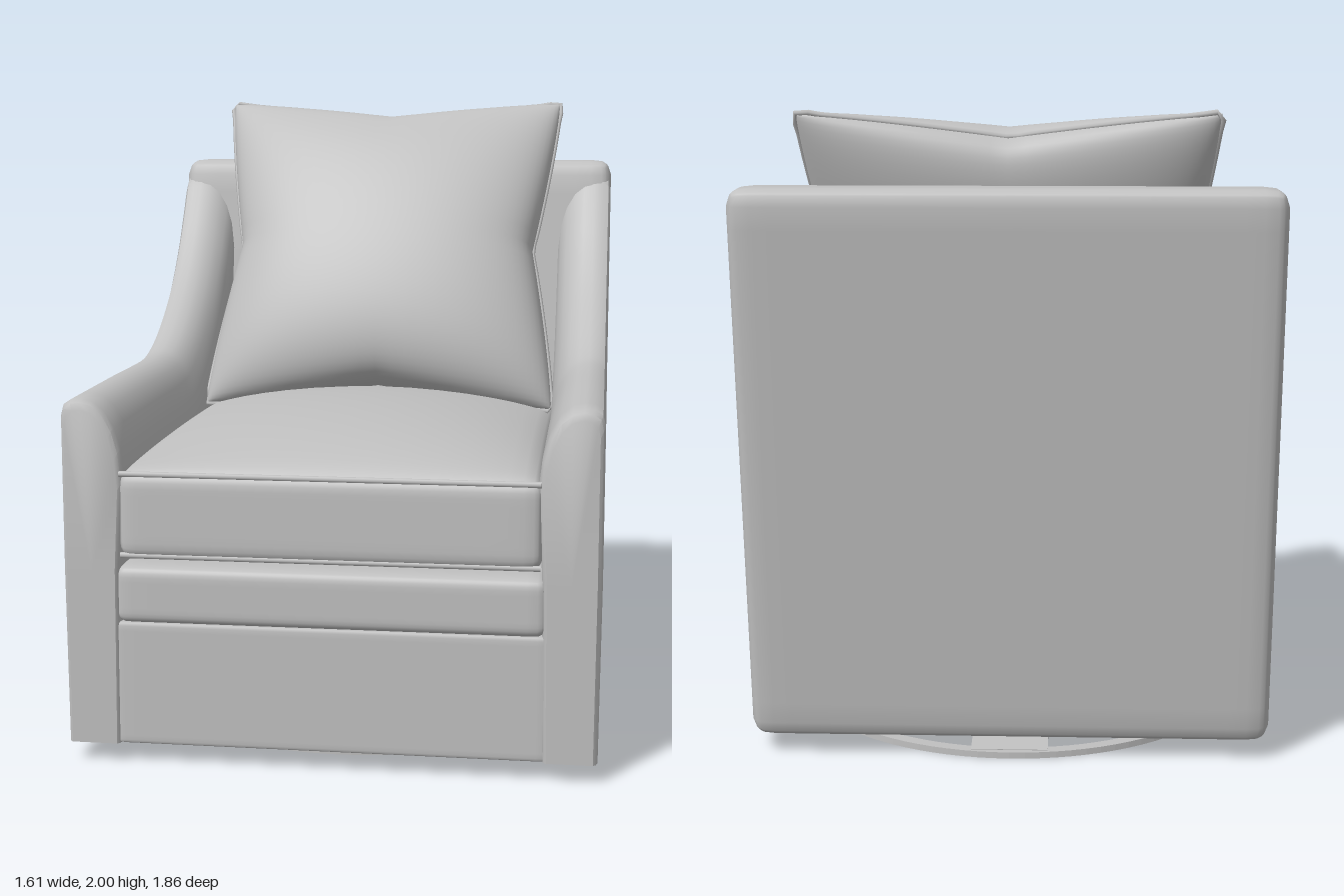
import * as THREE from 'three';
import { mergeVertices, toCreasedNormals } from 'three/addons/utils/BufferGeometryUtils.js';

const backZ = (y) => -0.75 - (y - 0.06) * 0.105; // raked rear surface

function smooth(geo) {
  geo.deleteAttribute('uv');
  geo.deleteAttribute('normal');
  const g = mergeVertices(geo, 1e-4);
  g.computeVertexNormals();
  return g;
}

// Rounded upholstered block given by its limits; bend(v, n) moves vertices, n is in -1..1
function softBox([x0, x1], [y0, y1], [z0, z1], r, bend) {
  const half = new THREE.Vector3(x1 - x0, y1 - y0, z1 - z0).multiplyScalar(0.5);
  const mid = new THREE.Vector3(x0 + x1, y0 + y1, z0 + z1).multiplyScalar(0.5);
  const geo = new THREE.BoxGeometry(2, 2, 2, 20, 16, 20);
  const p = geo.attributes.position;
  const v = new THREE.Vector3(), n = new THREE.Vector3(), inner = new THREE.Vector3();
  const lim = half.clone().subScalar(r);
  const ease = (t) => Math.sign(t) * (1 - (1 - Math.abs(t)) ** 2); // denser at the edges
  for (let i = 0; i < p.count; i++) {
    n.fromBufferAttribute(p, i);
    n.set(ease(n.x), ease(n.y), ease(n.z));
    v.copy(n).multiply(half);
    inner.copy(v).clamp(lim.clone().negate(), lim);
    v.sub(inner).setLength(r).add(inner).add(mid);
    if (bend) bend(v, n);
    p.setXYZ(i, v.x, v.y, v.z);
  }
  return smooth(geo);
}

// Arm and wing: one cross-section swept from the front to the raked back
function armGeometry(side) {
  const top = new THREE.CatmullRomCurve3([
    [0.89, 1.115], [0.45, 1.12], [0, 1.125], [-0.1, 1.14], [-0.25, 1.2], [-0.45, 1.335],
    [-0.6, 1.49], [-0.7, 1.63], [-0.77, 1.73], [-0.86, 1.765],
  ].map(([z, y]) => new THREE.Vector3(0, y, z)));
  const section = (h) => [
    [0.8, 0.06], [0.805, 0.6], [0.805, h - 0.05], [0.797, h - 0.018], [0.775, h - 0.003], [0.745, h],
    [0.71, h - 0.008], [0.675, h - 0.035], [0.645, h - 0.085], [0.625, h - 0.15], [0.615, h - 0.24],
    [0.63, 0.6], [0.635, 0.06],
  ];
  const rings = [];
  // softened front edge
  [[0.918, 0.84, 0.03], [0.91, 0.94, 0.01]].forEach(([z, k, drop]) => rings.push(
    section(1.115 - drop).map(([x, y]) => [0.715 + (x - 0.715) * k, y, z])));
  for (let i = 0; i <= 36; i++) {
    const t = top.getPoint(i / 36);
    const u = (0.89 - t.z) / (0.89 - backZ(t.y) - 0.07);
    rings.push(section(t.y).map(([x, y]) => [x, y, 0.89 + u * (backZ(y) + 0.07 - 0.89)]));
  }
  const n = rings[0].length, pos = [], idx = [];
  rings.flat().forEach(([x, y, z]) => pos.push(side * x, y, z));
  const tri = (a, b, c) => (side > 0 ? idx.push(a, b, c) : idx.push(a, c, b));
  for (let i = 0; i < rings.length - 1; i++) {
    for (let j = 0; j < n; j++) {
      const a = i * n + j, b = i * n + (j + 1) % n;
      tri(a, a + n, b);
      tri(b, a + n, b + n);
    }
  }
  const c = pos.length / 3;
  pos.push(side * 0.715, 0.6, 0.918);
  for (let j = 0; j < n; j++) tri(c, j, (j + 1) % n);
  const g = new THREE.BufferGeometry();
  g.setAttribute('position', new THREE.Float32BufferAttribute(pos, 3));
  g.setIndex(idx);
  return toCreasedNormals(g, 0.7);
}

// Point of the leaning pillow: a across, b up, f = 1 front, -1 back, 0 seam
function pillowPoint(a, b, f) {
  const x = a * (0.615 - 0.085 * (1 - Math.abs(b)) ** 1.3 * Math.abs(a) ** 2);
  const pinch = 0.065 * (1 - Math.abs(a)) ** 1.2 * Math.abs(b) ** 3;
  const t = (b * (1 - pinch * 2) + 1) / 2;
  const fat = Math.max(0, (1 - a * a) * (1 - b * b)) ** 0.42 * (f > 0 ? 0.26 : 0.15) * f;
  const low = f > 0 ? 1 - 0.15 * t : 1;
  return new THREE.Vector3(x, 0.93 + 1.06 * t + fat * low * 0.46, -0.22 - 0.555 * t + fat * low * 0.89);
}

function pillowGeometry() {
  const geo = new THREE.BoxGeometry(2, 2, 2, 36, 36, 1);
  const p = geo.attributes.position;
  const ease = (t) => Math.sin(t * Math.PI / 2);
  for (let i = 0; i < p.count; i++) {
    const v = pillowPoint(ease(p.getX(i)), ease(p.getY(i)), p.getZ(i));
    p.setXYZ(i, v.x, v.y, v.z);
  }
  return smooth(geo);
}

export function createModel() {
  const group = new THREE.Group();
  const fabric = new THREE.MeshStandardMaterial({ color: 0xc0c0c0 });
  fabric.name = 'grey fabric';
  const add = (name, geo, parent = group) => {
    const m = new THREE.Mesh(geo, fabric);
    m.name = name;
    parent.add(m);
    return m;
  };

  // Arms and raked back
  add('leftArm', armGeometry(1));
  add('rightArm', armGeometry(-1));
  add('backrest', softBox([-0.805, 0.805], [0.06, 1.785], [-0.75, -0.57], 0.055, (v) => {
    v.z -= (v.y - 0.06) * 0.105;
  }));

  // Seat base
  add('frontPanel', softBox([-0.645, 0.645], [0.06, 0.44], [-0.7, 0.912], 0.012));
  add('frontRail', softBox([-0.645, 0.645], [0.435, 0.615], [-0.7, 0.92], 0.035));
  const under = add('underside', new THREE.BoxGeometry(1.5, 0.02, 1.58));
  under.position.set(0, 0.071, 0.09);

  // Crowned seat cushion with piping
  add('seatCushion', softBox([-0.632, 0.632], [0.635, 0.905], [-0.6, 0.93], 0.045, (v, n) => {
    const crown = Math.max(0, 1 - n.x * n.x) ** 0.7 * Math.max(0, 1 - n.z * n.z) ** 0.7;
    if (n.y > 0) v.y += 0.12 * crown * n.y;
  }));
  for (const y of [0.648, 0.895]) {
    const pipe = add('seatPiping', new THREE.CylinderGeometry(0.009, 0.009, 1.25, 8));
    pipe.rotation.z = Math.PI / 2;
    pipe.position.set(0, y, 0.916);
  }

  // Back pillow and its seam piping
  add('backPillow', pillowGeometry());
  const seam = [];
  const corners = [[-1, -1], [1, -1], [1, 1], [-1, 1]];
  corners.forEach(([a, b], k) => {
    const [c, d] = corners[(k + 1) % 4];
    for (let i = 0; i < 16; i++) {
      const t = i / 16;
      seam.push(pillowPoint(a + (c - a) * t, b + (d - b) * t, 0));
    }
  });
  add('pillowPiping', new THREE.TubeGeometry(new THREE.CatmullRomCurve3(seam, true), 128, 0.009, 6, true));

  // Swivel base: flat ring with four rising spokes
  const base = new THREE.Group();
  base.name = 'swivelBase';
  base.position.z = 0.01;
  group.add(base);
  const ringShape = new THREE.Shape().absarc(0, 0, 0.75, 0, Math.PI * 2);
  ringShape.holes.push(new THREE.Path().absarc(0, 0, 0.71, 0, Math.PI * 2, true));
  const ring = add('baseRing', new THREE.ExtrudeGeometry(ringShape, {
    depth: 0.02, bevelEnabled: false, curveSegments: 48,
  }), base);
  ring.rotation.x = -Math.PI / 2;
  for (let i = 0; i < 4; i++) {
    const arm = new THREE.Group();
    arm.name = 'baseSpoke';
    arm.rotation.y = i * Math.PI / 2;
    base.add(arm);
    const plate = add('spokePlate', new THREE.BoxGeometry(0.24, 0.01, 0.4), arm);
    plate.position.set(0, 0.04, 0.53);
    plate.rotation.x = 0.115;
  }
  return group;
}
